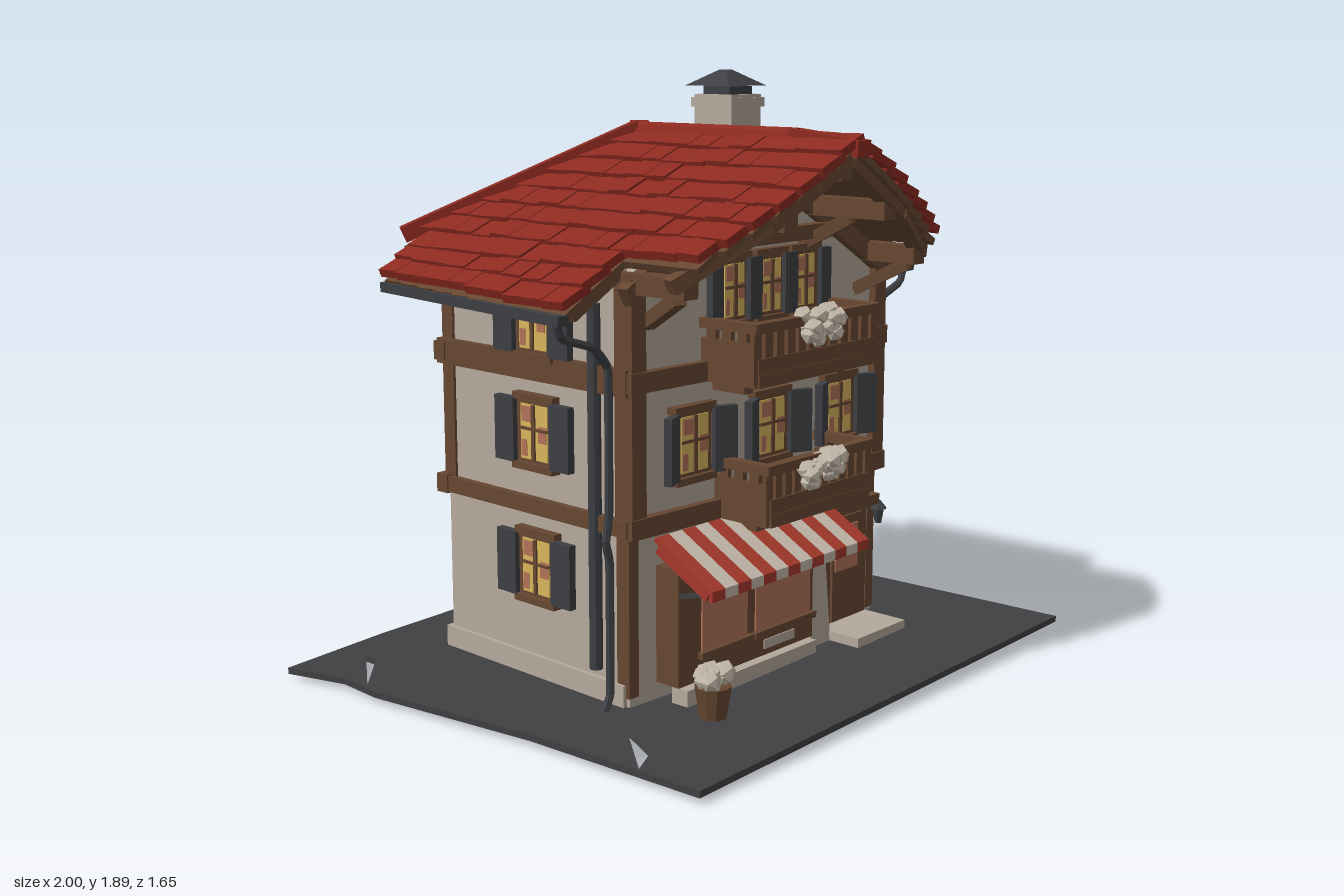
import * as THREE from 'three';
import { mergeGeometries } from 'three/addons/utils/BufferGeometryUtils.js';

const mat = (name, color) => Object.assign(new THREE.MeshStandardMaterial({ color, flatShading: true }), { name });

export function createModel() {
  const house = new THREE.Group();
  house.name = 'chalet';
  const plaster = mat('plaster', 0xb5a99c), timber = mat('timber', 0x664731), tile = mat('roof tile red', 0x8c2a20);
  const slate = mat('slate ground', 0x404042), iron = mat('shutter grey', 0x3d3f43), glow = mat('window yellow', 0xd8b55c);
  const glass = mat('salmon glass', 0xb27259), red = mat('awning red', 0xa5382c), pale = mat('pale cloth and petals', 0xc4b9aa);

  let seed = 7;
  const rnd = () => (seed = (seed * 16807) % 2147483647) / 2147483647;
  const add = (parent, name, geo, m, x = 0, y = 0, z = 0) => {
    const mesh = new THREE.Mesh(geo, m);
    mesh.name = name;
    mesh.position.set(x, y, z);
    parent.add(mesh);
    return mesh;
  };
  const box = (parent, name, m, w, h, d, x, y, z) => add(parent, name, new THREE.BoxGeometry(w, h, d), m, x, y, z);
  const group = (name, x = 0, y = 0, z = 0, ry = 0, parent = house) => {
    const g = new THREE.Group();
    g.name = name;
    g.position.set(x, y, z);
    g.rotation.y = ry;
    parent.add(g);
    return g;
  };
  // squared beam running from a to b
  const beam = (name, m, a, b, w, h) => {
    const p = new THREE.Vector3(...a), q = new THREE.Vector3(...b);
    const mesh = box(house, name, m, w, h, p.distanceTo(q), 0, 0, 0);
    mesh.position.copy(p).add(q).multiplyScalar(0.5);
    mesh.lookAt(q);
  };
  const shape = pts => new THREE.Shape(pts.map(p => new THREE.Vector2(...p)));

  // shape rules: slightly bowed front, narrower back, gabled roof with eaves that taper to the rear
  const CX = 0.06, RX = 0.03, BACK = -0.535, L = -0.54, R = 0.66, LB = -0.515, RB = 0.615, SLOPE = 0.55;
  const bow = x => 0.31 - 0.08 * (x - CX) ** 2;
  const roofY = x => 1.71 - SLOPE * Math.abs(x - RX);
  const roofFront = u => (u < 0.6 ? 0.67 - 0.42 * u * u : 0.27);
  const roofBack = u => (u < 0.6 ? -0.21 - 0.78 * u : -0.57);
  const taper = (u, z) => u - Math.max(0, u - 0.6) * 0.36 * (0.27 - z);

  // thin, slightly tilted ground sheet, open under the house
  const ground = shape([[-1, 0.77], [-0.6, 0.8], [0.93, 0.83], [1, -0.81], [-0.84, -0.82], [-0.87, -0.2], [-0.95, 0.4], [-0.94, 0.56]]);
  for (const hole of [[[LB + 0.02, 0.5], [RB - 0.02, 0.5], [R - 0.03, -0.25], [L + 0.03, -0.25]],
    [[-0.93, 0.46], [-0.77, 0.62], [-0.77, 0.67]], [[-0.84, -0.6], [-0.7, -0.43], [-0.76, -0.56]]])
    ground.holes.push(new THREE.Path(hole.map(p => new THREE.Vector2(...p))));
  const sheet = new THREE.ExtrudeGeometry(ground, { depth: 0.02, bevelEnabled: false }).rotateX(-Math.PI / 2);
  const sp = sheet.attributes.position;
  for (let i = 0; i < sp.count; i++) sp.setY(i, sp.getY(i) + 0.04 + 0.014 * sp.getX(i));
  sheet.computeVertexNormals();
  add(house, 'ground', sheet, slate);

  // front and back walls
  const wall = (name, l, r, topAt, zAt) => {
    const geo = new THREE.BoxGeometry(r - l, 1, 0.03, 24, 1, 1), p = geo.attributes.position;
    for (let i = 0; i < p.count; i++) {
      const x = p.getX(i) + (l + r) / 2;
      p.setXYZ(i, x, p.getY(i) > 0 ? topAt(x) : 0.035, p.getZ(i) - 0.015 + zAt(x));
    }
    geo.computeVertexNormals();
    add(house, name, geo, plaster);
  };
  wall('frontWall', L, R, x => roofY(x) - 0.06, bow);
  wall('backWall', LB, RB, x => Math.min(roofY(x) - 0.06, 1.5 - 0.3 * Math.abs(x - RX)), () => BACK + 0.03);
  box(house, 'ceiling', timber, 1.1, 0.02, 0.78, 0.055, 0.5, -0.13);
  box(house, 'plinthBack', plaster, RB - LB + 0.03, 0.07, 0.03, 0.05, 0.085, BACK);

  // windows with frame, glazing bars, sill and shutters
  const win = (parent, x, y, z, ry, w, h, sw = 0.07, swing = 0, pane = glow) => {
    const g = group('window', x, y, z, ry, parent);
    box(g, 'frame', timber, w + 0.04, h + 0.04, 0.04, 0, 0, 0);
    box(g, 'pane', pane, w, h, 0.008, 0, 0, 0.02);
    box(g, 'innerPane', glow, w, h, 0.008, 0, 0, -0.035);
    for (const [cx, cy, cw, ch] of [[-0.2, 0.32, 0.5, 0.28], [0.32, -0.02, 0.3, 0.3], [-0.36, -0.3, 0.2, 0.3]])
      box(g, 'curtain', glass, w * cw, h * ch, 0.004, w * cx, h * cy, 0.024);
    box(g, 'mullion', timber, 0.014, h, 0.016, 0, 0, 0.022);
    box(g, 'glazingBar', timber, w, 0.009, 0.014, 0, 0.01, 0.022);
    box(g, 'lintel', timber, w + 0.06, 0.022, 0.05, 0, h / 2 + 0.022, 0.005);
    box(g, 'sill', timber, w + 0.06, 0.022, 0.055, 0, -h / 2 - 0.022, 0.008);
    if (sw) for (const s of [-1, 1]) {
      const off = s * (w / 2 + 0.02 + sw / 2);
      box(g, 'shutter', iron, sw, h + 0.03, 0.025, off, 0, 0.025 + swing * sw * 0.5).rotation.y = -s * swing;
    }
  };

  // side walls, each with beams, plinth, pipe and three windows
  for (const s of [-1, 1]) {
    const g = group('side', s > 0 ? (R + RB) / 2 : (L + LB) / 2, 0, -0.13, s > 0 ? Math.PI / 2 + 0.055 : -Math.PI / 2 - 0.03);
    box(g, 'sideWall', plaster, 0.81, 1.285, 0.03, 0, 0.678, -0.015);
    box(g, 'sidePlinth', plaster, 0.8, 0.07, 0.03, 0, 0.085, 0);
    box(g, 'upperBeam', timber, 0.85, 0.08, 0.05, 0, 1.03, 0);
    box(g, 'lowerBeam', timber, 0.85, 0.05, 0.05, 0, 0.6, 0);
    add(g, 'sidePipe', new THREE.CylinderGeometry(0.02, 0.02, 1.1, 8), iron, -s * 0.29, 0.7, 0.02);
    for (const y of [1.17, 0.83, 0.41]) win(g, s > 0 ? 0.02 : 0.03, y, 0, 0, 0.12, 0.17, 0.085);
  }

  // recessed rear gable and loft floor
  const gable = shape([[RX - 0.4, 1.42], [RX + 0.4, 1.42], [RX, 1.65]]);
  add(house, 'rearGable', new THREE.ExtrudeGeometry(gable, { depth: 0.02, bevelEnabled: false }), plaster, 0, 0, -0.23);
  box(house, 'loftFloor', timber, 0.84, 0.03, 0.32, RX, 1.41, -0.37);
  for (const x of [-0.23, 0.3]) box(house, 'loftBeam', timber, 0.06, 0.07, 0.3, x, 1.47, -0.46);

  // storey beams and corner posts
  for (const y of [0.6, 1.03]) {
    for (const [a, b] of [[L - 0.02, CX], [CX, R + 0.02]])
      beam('frontBeam', timber, [a, y, bow(a) + 0.01], [b, y, bow(b) + 0.01], 0.05, 0.06);
    box(house, 'backBeam', timber, RB - LB + 0.06, 0.06, 0.05, 0.05, y, BACK - 0.005);
  }
  for (const x of [L + 0.015, R - 0.015]) {
    box(house, 'frontPost', timber, 0.06, 0.74, 0.07, x, 0.96, 0.275);
    box(house, 'lowerPost', timber, 0.04, 0.5, 0.05, x, 0.33, 0.26);
  }
  for (const x of [LB + 0.015, RB - 0.015]) box(house, 'rearPost', timber, 0.05, 0.74, 0.05, x, 0.96, BACK + 0.015);

  // roof tiles in courses over a timber lining
  const tiles = [], lining = [], N = 10, angle = Math.atan(SLOPE);
  for (const s of [-1, 1]) for (let i = 0; i < N; i++) {
    const u = (i + 0.5) * (s > 0 ? 0.083 : 0.0805), f = roofFront(u), b = roofBack(u), n = Math.round((f - b) / 0.085), len = (f - b) / n;
    for (let k = 0; k < n; k++) {
      const z = b + (k + 0.5) * len, t = taper(u, z), y = roofY(RX + t);
      const g = new THREE.BoxGeometry(0.112 + rnd() * 0.014, 0.026, len * 1.02);
      g.rotateX((rnd() - 0.5) * 0.08).rotateZ(-s * (angle - 0.12));
      tiles.push(g.translate(RX + s * t, y + rnd() * 0.008, z));
      lining.push(new THREE.BoxGeometry(0.1, 0.022, len).rotateZ(-s * angle).translate(RX + s * t, y - 0.03, z * 0.98));
    }
  }
  add(house, 'roofTiles', mergeGeometries(tiles), tile);
  add(house, 'roofLining', mergeGeometries(lining), timber);
  add(house, 'ridgeCap', new THREE.CylinderGeometry(0.034, 0.034, 0.65, 8).rotateX(Math.PI / 2), tile, RX, 1.705, 0.115);
  beam('ridgeCapFront', tile, [RX, 1.712, 0.42], [RX, 1.685, 0.68], 0.06, 0.05);
  for (const s of [-1, 1]) {
    const at = (u, dy, z) => [RX + s * u, roofY(RX + u) + dy, z];
    beam('rearVerge', tile, at(0, 0.01, -0.21), at(0.6, 0.01, -0.67), 0.06, 0.05);
    beam('rearVergeBoard', timber, at(0.03, -0.05, -0.21), at(0.6, -0.05, -0.65), 0.04, 0.05);
    beam('visorBeam', timber, [RX, 1.52, -0.55], [RX + s * 0.34, 1.41, -0.55], 0.06, 0.06);
    beam('rearRafter', timber, at(0.44, -0.08, -0.55), at(0.6, -0.08, -0.55), 0.05, 0.05);
    beam('frontVerge', timber, at(0, -0.055, 0.62), at(0.32, -0.055, 0.58), 0.05, 0.045);
    beam('frontVerge', timber, at(0.32, -0.055, 0.58), at(0.6, -0.055, 0.47), 0.05, 0.045);
    beam('eavesVerge', timber, at(0.58, -0.045, 0.24), at(0.77, -0.045, 0.24), 0.05, 0.035);
    beam('wallRafter', timber, at(0.05, -0.1, 0.32), at(0.6, -0.1, 0.3), 0.04, 0.06);
    for (const u of [0.24, 0.55]) {
      beam('purlin', timber, at(u, -0.09, 0.25), at(u, -0.09, roofFront(u) - 0.04), 0.06, 0.06);
      beam('purlinBrace', timber, at(u - 0.05, -0.24, bow(RX + u)), at(u, -0.12, 0.46), 0.04, 0.04);
    }
    beam('rearPurlin', timber, at(0.56, -0.09, -0.5), at(0.56, -0.09, -0.63), 0.05, 0.06);
    // gutters and downpipes
    box(house, 'gutterStub', iron, 0.2, 0.025, 0.03, RX + s * 0.49, 1.3, -0.655);
    const gx = RX + s * (s > 0 ? 0.845 : 0.815);
    beam('gutter', iron, [gx - s * 0.06, 1.25, -0.57], [gx, 1.235, 0.27], 0.04, 0.03);
    const wx = s > 0 ? R + 0.03 : L - 0.04;
    const path = [[gx, 1.23], [gx - s * 0.02, 1.18], [wx + s * 0.06, 1.14], [wx, 1.07], [wx, 0.65], [wx + s * 0.015, 0.56], [wx, 0.5], [wx, 0.1], [wx + s * 0.045, 0.015]]
      .map(p => new THREE.Vector3(p[0], p[1], 0.24));
    add(house, 'downpipe', new THREE.TubeGeometry(new THREE.CatmullRomCurve3(path, false, 'catmullrom', 0.1), 60, 0.013, 6), iron);
  }
  beam('frontCollar', timber, [-0.24, 1.41, 0.33], [0.32, 1.41, 0.33], 0.05, 0.045);
  beam('ridgeBeam', timber, [RX, 1.62, 0.2], [RX, 1.62, 0.62], 0.06, 0.06);
  const vent = shape([[-0.13, 1.46], [0.19, 1.46], [0.11, 1.51], [RX, 1.53], [-0.05, 1.51]]);
  add(house, 'gableOpening', new THREE.ExtrudeGeometry(vent, { depth: 0.008, bevelEnabled: false }), timber, 0, 0, 0.308);

  // chimney
  box(house, 'chimney', plaster, 0.145, 0.35, 0.155, 0.245, 1.65, -0.02);
  box(house, 'chimneyCollar', plaster, 0.165, 0.03, 0.17, 0.245, 1.8, -0.02);
  box(house, 'chimneyVent', iron, 0.11, 0.04, 0.11, 0.245, 1.83, -0.02);
  add(house, 'chimneyCap', new THREE.CylinderGeometry(0.02, 0.13, 0.05, 4).rotateY(Math.PI / 4), iron, 0.24, 1.877, -0.025);
  box(house, 'chimneySaddle', tile, 0.1, 0.07, 0.15, 0.365, 1.545, -0.02);

  // front and back windows
  for (const x of [-0.13, 0.04, 0.21]) win(house, x, 1.26, bow(x), 0, 0.09, 0.16, 0.05);
  for (const x of [-0.3, 0.05, 0.41]) win(house, x, 0.82, bow(x), 0, 0.12, 0.17, 0.075, 0.4);
  win(house, 0, 1.27, BACK, Math.PI, 0.12, 0.18);
  for (const x of [0.18, -0.23]) win(house, x, 0.83, BACK, Math.PI, 0.11, 0.16);
  for (const x of [0.29, 0.07]) win(house, x, 0.42, BACK, Math.PI, 0.07, 0.09, 0, 0, glass);

  // flowers
  const flowers = (x, y, z, w, h) => {
    const parts = [];
    for (let i = 0; i < 26; i++)
      parts.push(new THREE.IcosahedronGeometry(0.024 + rnd() * 0.012, 0)
        .translate((rnd() - 0.5) * w, (rnd() - 0.5) * h, (rnd() - 0.5) * 0.05));
    add(house, 'flowers', mergeGeometries(parts), pale, x, y, z);
  };

  // balconies
  const balcony = (x0, x1, y0, y1) => {
    const g = group('balcony'), w = x1 - x0, cx = (x0 + x1) / 2, h = y1 - y0;
    box(g, 'deck', timber, w, 0.04, 0.22, cx, y0 + 0.02, 0.41);
    box(g, 'topRail', timber, w + 0.03, 0.03, 0.035, cx, y1 - 0.015, 0.505);
    box(g, 'lowRail', timber, w, 0.05, 0.025, cx, y0 + 0.06, 0.505);
    const n = 11;
    for (let i = 0; i <= n; i++) box(g, 'baluster', timber, w / n * 0.68, h - 0.02, 0.016, x0 + w * i / n, y0 + h / 2, 0.505);
    for (const x of [x0, x1]) {
      box(g, 'sidePanel', timber, 0.02, h - 0.06, 0.21, x, y0 + h / 2 - 0.03, 0.405);
      box(g, 'sideRail', timber, 0.035, 0.03, 0.22, x, y1 - 0.015, 0.41);
      for (const z of [0.34, 0.4, 0.46]) box(g, 'sideBaluster', timber, 0.018, 0.05, 0.035, x, y1 - 0.04, z);
      box(g, 'bracket', timber, 0.04, 0.04, 0.14, x - Math.sign(x - cx) * 0.06, y0 - 0.015, 0.36);
    }
    flowers(0.045, y1 - 0.035, 0.53, 0.15, 0.08);
  };
  balcony(-0.24, 0.33, 1.0, 1.19);
  balcony(-0.18, 0.31, 0.57, 0.76);

  // shop front
  const shop = group('shopFront');
  box(shop, 'shopFrame', timber, 0.64, 0.36, 0.09, -0.12, 0.29, 0.34);
  box(shop, 'innerFrame', timber, 0.6, 0.38, 0.008, -0.12, 0.24, 0.268);
  for (const [x, w] of [[-0.235, 0.21], [0.045, 0.27]]) {
    box(shop, 'innerGlow', glow, w, 0.2, 0.008, x, 0.29, 0.262);
    box(shop, 'shopPane', glass, w, 0.2, 0.008, x, 0.3, 0.386);
    box(shop, 'shopSill', timber, w + 0.03, 0.02, 0.03, x, 0.19, 0.39);
  }
  box(shop, 'shopPatch', plaster, 0.15, 0.03, 0.006, 0.03, 0.145, 0.386);
  box(shop, 'shopStep', plaster, 0.62, 0.05, 0.06, -0.12, 0.08, 0.38);
  add(shop, 'pier', new THREE.CylinderGeometry(0.05, 0.075, 0.36, 4).rotateY(Math.PI / 4), plaster, 0.262, 0.23, 0.32);

  // striped awning with valance and cheeks
  const awning = group('awning');
  for (let i = 0; i < 13; i++) {
    const x = -0.455 + i * 0.0577, m = i % 2 ? pale : red;
    box(awning, 'stripe', m, 0.0577, 0.014, 0.25, x, 0.505, 0.44).rotation.x = 0.5;
    box(awning, 'valance', m, 0.0577, 0.03, 0.01, x, 0.435, 0.548);
  }
  for (const x of [-0.48, 0.262]) {
    box(awning, 'cheek', red, 0.01, 0.04, 0.22, x, 0.49, 0.44).rotation.x = 0.5;
    beam('awningArm', iron, [x * 0.9, 0.38, 0.34], [x * 0.9, 0.43, 0.53], 0.012, 0.012);
  }

  // doors, steps and lanterns
  const door = group('frontDoor', 0.44, 0.07, bow(0.44));
  box(door, 'doorFrame', timber, 0.23, 0.4, 0.07, 0, 0.23, 0);
  box(door, 'doorHood', timber, 0.25, 0.035, 0.1, 0, 0.425, 0.03);
  box(door, 'doorLeaf', timber, 0.16, 0.35, 0.02, 0, 0.21, 0.035);
  box(door, 'doorPane', glass, 0.12, 0.15, 0.006, -0.01, 0.28, 0.047);
  box(door, 'doorStep', plaster, 0.26, 0.035, 0.18, 0, 0.008, 0.1);
  const rear = group('backDoor', -0.24, 0.07, BACK, Math.PI);
  box(rear, 'doorFrame', timber, 0.17, 0.38, 0.04, 0, 0.2, 0);
  box(rear, 'doorHood', timber, 0.2, 0.03, 0.06, 0, 0.39, 0.01);
  box(rear, 'doorStep', plaster, 0.22, 0.04, 0.07, 0, 0.005, 0.03);
  for (const [x, y] of [[0.29, 0.42], [0.59, 0.44]]) {
    const g = group('lantern', x, y, bow(x) + 0.07);
    add(g, 'lanternCap', new THREE.ConeGeometry(0.03, 0.035, 6), iron, 0, 0.03, 0);
    add(g, 'lanternBody', new THREE.CylinderGeometry(0.022, 0.012, 0.05, 6), iron, 0, -0.012, 0);
    box(g, 'lanternArm', iron, 0.01, 0.01, 0.07, 0, 0.03, -0.03);
  }

  // potted plant
  add(house, 'plantPot', new THREE.CylinderGeometry(0.055, 0.04, 0.1, 10), timber, -0.43, 0.1, 0.51);
  flowers(-0.43, 0.175, 0.51, 0.09, 0.03);
  return house;
}
